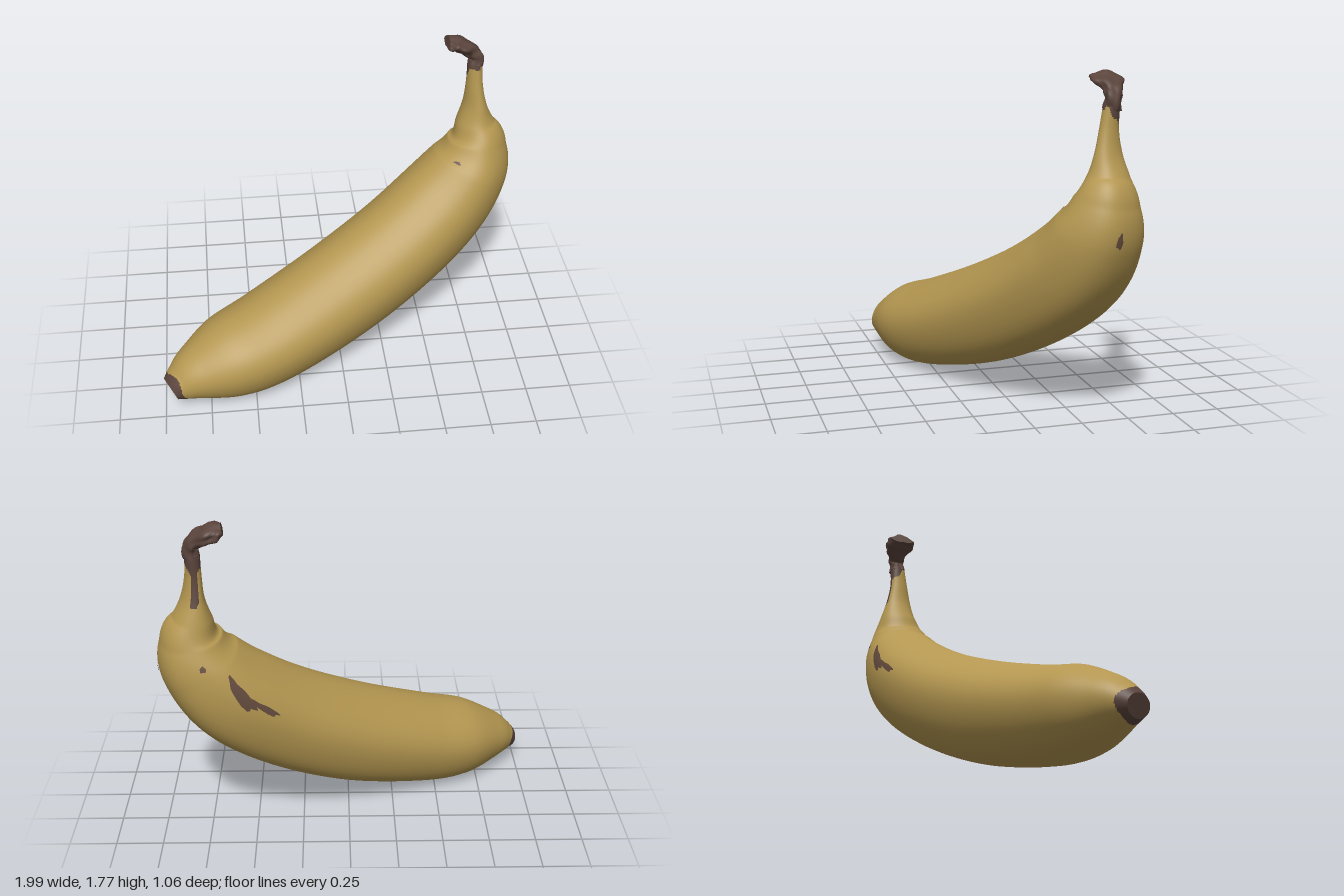
import * as THREE from 'three';

const mat = (name, color, side = THREE.FrontSide) => {
  const m = new THREE.MeshStandardMaterial({ color, side });
  m.name = name;
  return m;
};

// Cross-sections: centre x, y, z, half height in the bend plane, half width across it
const BODY = [
  [-0.965, 0.15, 0.425, 0.06, 0.075],
  [-0.91, 0.172, 0.4, 0.1, 0.115],
  [-0.82, 0.2, 0.36, 0.152, 0.17],
  [-0.64, 0.235, 0.285, 0.222, 0.25],
  [-0.39, 0.287, 0.185, 0.252, 0.28],
  [0, 0.425, 0.01, 0.275, 0.288],
  [0.35, 0.605, -0.145, 0.275, 0.285],
  [0.61, 0.8, -0.26, 0.262, 0.272],
  [0.765, 1.0, -0.315, 0.22, 0.232],
  [0.807, 1.16, -0.338, 0.162, 0.167],
  [0.793, 1.27, -0.35, 0.104, 0.116],
  [0.785, 1.38, -0.352, 0.058, 0.082],
  [0.777, 1.5, -0.356, 0.041, 0.056],
  [0.775, 1.62, -0.368, 0.038, 0.044],
];
const STEM = [
  [0.775, 1.6, -0.368, 0.041, 0.046],
  [0.782, 1.655, -0.374, 0.038, 0.042],
  [0.757, 1.69, -0.38, 0.038, 0.05],
  [0.71, 1.72, -0.383, 0.04, 0.075],
  [0.66, 1.742, -0.383, 0.037, 0.085],
  [0.622, 1.75, -0.38, 0.028, 0.06],
];

// Surface point at u (0..1 along the path) and angle a (0 = inner side of the bend)
function makeSurface(rows, ripple) {
  const path = new THREE.CatmullRomCurve3(rows.map((r) => new THREE.Vector3(r[0], r[1], r[2])), false, 'catmullrom', 0.5);
  const size = new THREE.CatmullRomCurve3(rows.map((r) => new THREE.Vector3(r[3], r[4], 0)), false, 'catmullrom', 0.5);
  const across = new THREE.Vector3(0.41, 0, 0.91).normalize();
  return (u, a, lift = 0) => {
    const t = path.getTangent(u);
    const b = across.clone().addScaledVector(t, -across.dot(t)).normalize();
    const n = b.clone().cross(t);
    const s = size.getPoint(u);
    const k = 1 + ripple(u, a);
    return path.getPoint(u)
      .addScaledVector(n, (s.x * k + lift) * Math.cos(a))
      .addScaledVector(b, (s.y * k + lift) * Math.sin(a));
  };
}

// Closed tube over a surface; isDark(u, a, point) sends faces to the second material
function loft(surface, nu, nv, isDark) {
  const pos = [];
  const faces = [[], []];
  for (let i = 0; i <= nu; i++)
    for (let j = 0; j < nv; j++) pos.push(...surface(i / nu, (j / nv) * Math.PI * 2).toArray());
  for (let i = 0; i < nu; i++)
    for (let j = 0; j < nv; j++) {
      const u = (i + 0.5) / nu, ang = ((j + 0.5) / nv) * Math.PI * 2;
      const a = i * nv + j, b = i * nv + ((j + 1) % nv);
      faces[isDark(u, ang, surface(u, ang)) ? 1 : 0].push(a, b, a + nv, b, b + nv, a + nv);
    }
  // End caps with their own rim so the edge stays sharp
  for (const end of [0, 1]) {
    const c = pos.length / 3;
    const mid = new THREE.Vector3();
    for (let j = 0; j < nv; j++) {
      const p = surface(end, (j / nv) * Math.PI * 2);
      mid.addScaledVector(p, 1 / nv);
      pos.push(...p.toArray());
    }
    pos.push(...mid.toArray());
    for (let j = 0; j < nv; j++) {
      const k = (j + 1) % nv;
      faces[1].push(c + nv, c + (end ? j : k), c + (end ? k : j));
    }
  }
  const g = new THREE.BufferGeometry();
  g.setAttribute('position', new THREE.Float32BufferAttribute(pos, 3));
  g.setIndex([...faces[0], ...faces[1]]);
  g.addGroup(0, faces[0].length, 0);
  g.addGroup(faces[0].length, faces[1].length, 1);
  g.computeVertexNormals();
  return g;
}

// Thin blotch lying on a surface near a target point; du is along, da around
function blotch(surface, target, du, da, skew = 0) {
  let best = Infinity, u0 = 0, a0 = 0;
  for (let i = 0; i <= 150; i++)
    for (let j = 0; j < 120; j++) {
      const a = (j / 120) * Math.PI * 2;
      const d = surface(i / 150, a).distanceTo(target);
      if (d < best) { best = d; u0 = i / 150; a0 = a; }
    }
  const N = 20, RINGS = 4, pos = [], idx = [];
  for (let r = 0; r <= RINGS; r++)
    for (let j = 0; j < N; j++) {
      const t = (j / N) * Math.PI * 2;
      const k = (r / RINGS) * (1 + 0.15 * Math.sin(3 * t + 1) + 0.1 * Math.sin(5 * t));
      const x = Math.cos(t) * k;
      pos.push(...surface(u0 + du * x, a0 + da * Math.sin(t) * k + skew * x, 0.004).toArray());
      if (r < RINGS) {
        const a = r * N + j, b = r * N + ((j + 1) % N);
        idx.push(a, a + N, b, b, a + N, b + N);
      }
    }
  const g = new THREE.BufferGeometry();
  g.setAttribute('position', new THREE.Float32BufferAttribute(pos, 3));
  g.setIndex(idx);
  g.computeVertexNormals();
  return g;
}

export function createModel() {
  const group = new THREE.Group();
  group.name = 'banana';
  const peelMat = mat('ripe yellow peel', 0xb39650);
  const darkMat = mat('dried brown', 0x5a443c);
  const spotMat = mat('brown spot', 0x62493c, THREE.DoubleSide);
  const add = (name, geometry, material) => {
    const m = new THREE.Mesh(geometry, material);
    m.name = name;
    group.add(m);
  };

  // Peel with five soft ridges, browned at the blossom end and the stem
  const body = makeSurface(BODY, (u, a) => 0.018 * Math.cos(5 * a) * Math.sin(Math.PI * u));
  const browned = (u, a, p) => {
    if (u < 0.055 + 0.012 * Math.sin(a * 3)) return true;
    if (p.y < 1.35) return false;
    const streak = Math.abs(a - Math.PI * 1.42) < 0.35 ? 0.12 : 0;
    return p.y > 1.61 - 1.3 * Math.max(0, -0.335 - p.z) - streak + 0.012 * Math.sin(a * 4);
  };
  add('peel', loft(body, 180, 60, browned), [peelMat, darkMat]);

  // Dried, torn stem end bending over the top
  const stem = makeSurface(STEM, (u, a) =>
    0.13 * u * Math.sin(3 * a + 5 * u) + 0.09 * Math.sin(5 * a - 9 * u) + 0.07 * Math.sin(19 * u + 2 * a));
  add('stemEnd', loft(stem, 36, 28, () => true), [darkMat, darkMat]);

  // Bruises on the peel
  const spots = [
    ['frontSpot', [0.665, 1.135, -0.16], 0.006, 0.1, 0],
    ['sideSpot', [0.99, 1.0, -0.34], 0.01, 0.08, 0],
    ['backSpot', [0.74, 1.06, -0.53], 0.007, 0.08, 0],
    ['backBruise', [0.57, 0.9, -0.48], 0.032, 0.12, 0.08],
    ['backBruiseTail', [0.46, 0.82, -0.45], 0.022, 0.06, 0],
  ];
  for (const [name, p, du, da, skew] of spots)
    add(name, blotch(body, new THREE.Vector3(...p), du, da, skew), spotMat);

  return group;
}
